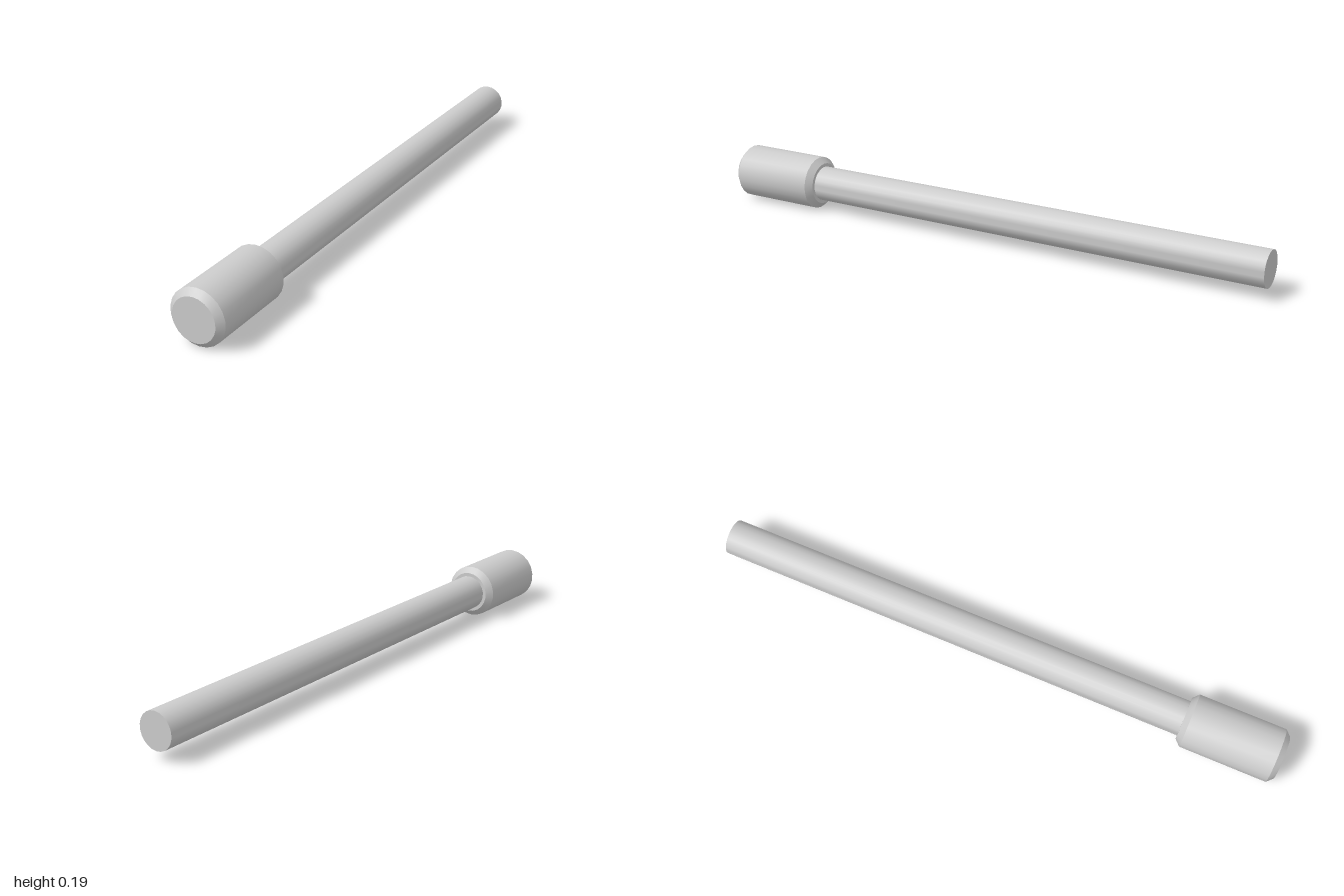
import * as THREE from 'three';
import { toCreasedNormals } from 'three/addons/utils/BufferGeometryUtils.js';

const SIDES = 22;
const AXIS_Y = 0.093;

// Turned part along z from a [radius, z] profile, with crisp chamfer edges
function turned(name, profile, material) {
  const points = profile.map(([r, z]) => new THREE.Vector2(r, z));
  const lathe = new THREE.LatheGeometry(points, SIDES).rotateX(Math.PI / 2);
  const mesh = new THREE.Mesh(toCreasedNormals(lathe, 0.6), material);
  mesh.name = name;
  mesh.position.y = AXIS_Y;
  return mesh;
}

export function createModel() {
  const model = new THREE.Group();
  model.name = 'headedPin';
  const grey = new THREE.MeshStandardMaterial({ color: 0xcccccc });

  // Head, chamfered at both ends
  const r = 0.093, chamfer = 0.02, back = 0.66, front = 1;
  model.add(turned('head', [
    [0, back],
    [r - chamfer, back],
    [r, back + chamfer],
    [r, front - chamfer],
    [r - chamfer, front],
    [0, front],
  ], grey));

  // Plain shaft, seated into the back of the head
  model.add(turned('shaft', [
    [0, -1],
    [0.061, -1],
    [0.061, back + 0.01],
    [0, back + 0.01],
  ], grey));

  return model;
}
